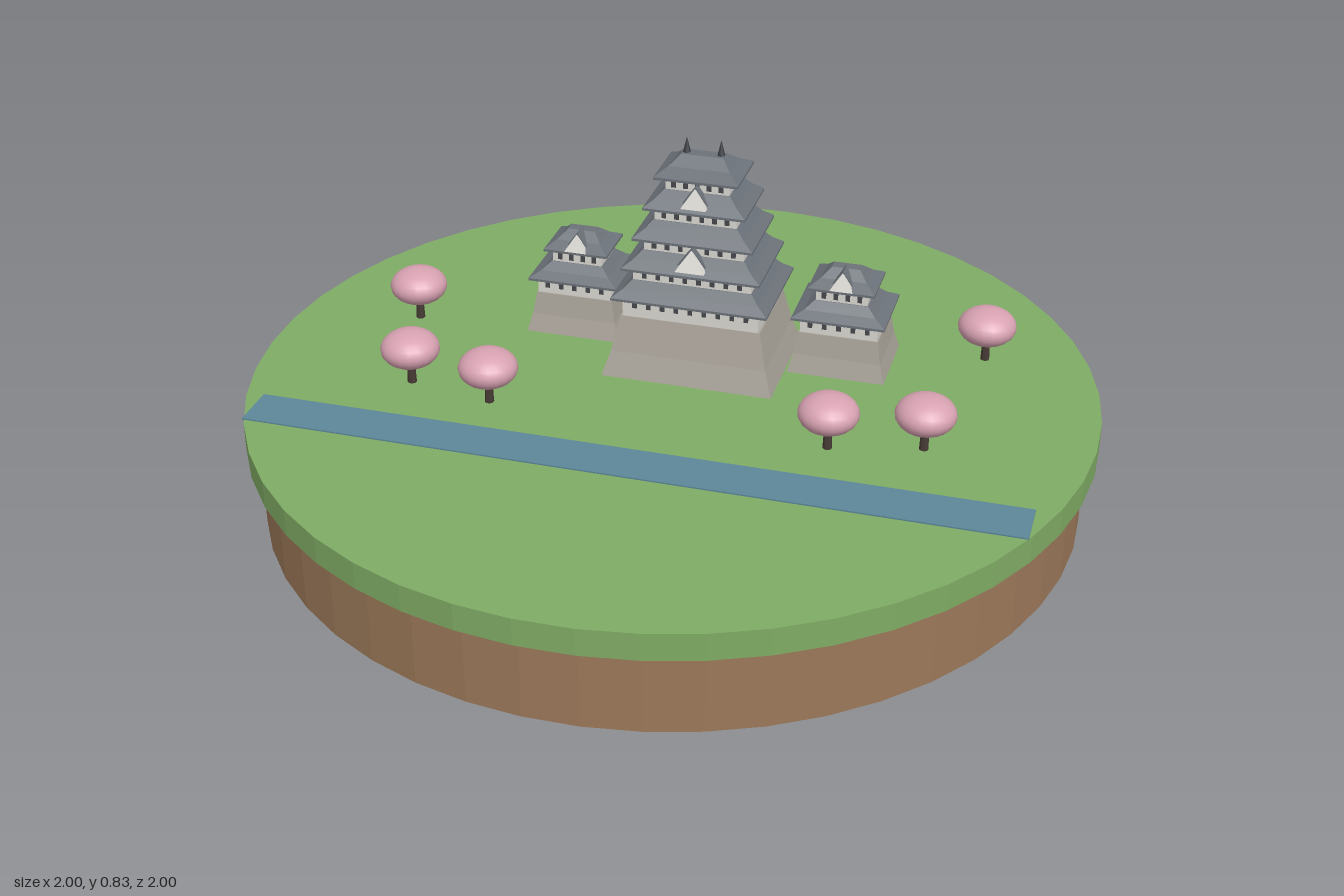
import * as THREE from 'three';

const mat = (name, color, flat = true) => {
  const m = new THREE.MeshStandardMaterial({ color, flatShading: flat });
  m.name = name;
  return m;
};

export function createModel() {
  const M = {
    grass: mat('grass', 0x7fab64), soil: mat('soil', 0x9b7859), water: mat('water', 0x5c8798),
    stone: mat('stone', 0xa9a399), plaster: mat('plaster', 0xdad8d2), roof: mat('roof tile', 0x6c7279),
    window: mat('window', 0x45474c), finial: mat('finial', 0x3c3f45),
    trunk: mat('bark', 0x463a34), blossom: mat('blossom', 0xd8a2b2, false),
  };
  const model = new THREE.Group();
  const GROUND = 0.265, TURN = -0.345;

  const add = (parent, name, geo, material, x = 0, y = 0, z = 0) => {
    const mesh = new THREE.Mesh(geo, material);
    mesh.name = name;
    mesh.position.set(x, y, z);
    parent.add(mesh);
    return mesh;
  };

  // Closed solid through rectangular rings [halfWidth, halfDepth, y], bottom to top
  const loft = (rings) => {
    const pos = [];
    const corner = ([a, b, y], i) => [[-a, y, b], [a, y, b], [a, y, -b], [-a, y, -b]][i % 4];
    const quad = (p, q, r, s) => pos.push(...p, ...q, ...r, ...p, ...r, ...s);
    for (let k = 0; k < rings.length - 1; k++) {
      for (let i = 0; i < 4; i++) {
        quad(corner(rings[k], i), corner(rings[k], i + 1), corner(rings[k + 1], i + 1), corner(rings[k + 1], i));
      }
    }
    const lo = rings[0], hi = rings[rings.length - 1];
    quad(corner(lo, 3), corner(lo, 2), corner(lo, 1), corner(lo, 0));
    quad(corner(hi, 0), corner(hi, 1), corner(hi, 2), corner(hi, 3));
    const g = new THREE.BufferGeometry();
    g.setAttribute('position', new THREE.Float32BufferAttribute(pos, 3));
    g.computeVertexNormals();
    return g;
  };

  // Hipped roof with a thin eave edge and a slight sag
  const roof = (parent, a, b, y, topA, topB, h) => add(parent, 'roof', loft([
    [a, b, y], [a, b, y + 0.006],
    [a * 0.45 + topA * 0.55, b * 0.45 + topB * 0.55, y + h * 0.52], [topA, topB, y + h],
  ]), M.roof);

  // Row of small windows on the front and back walls
  const windows = (parent, count, a, b, y) => {
    for (let i = 0; i < count; i++) {
      const x = ((i + 0.5) / count - 0.5) * a * 1.85;
      for (const s of [1, -1]) add(parent, 'window', new THREE.BoxGeometry(0.011, 0.017, 0.004), M.window, x, y, s * b);
    }
  };

  // Small decorative gable with dark sloping covers
  const gable = (parent, w, h, y, z) => {
    const face = new THREE.ConeGeometry(w * Math.SQRT1_2, h, 4).rotateY(Math.PI / 4).scale(1, 1, 0.6);
    add(parent, 'gable', face, M.plaster, 0, y + h / 2, z);
    const s = new THREE.Shape([[-w * 0.58, 0], [0, h * 1.08], [w * 0.58, 0]].map((p) => new THREE.Vector2(...p)));
    add(parent, 'gableRoof', new THREE.ExtrudeGeometry(s, { depth: 0.045, bevelEnabled: false }), M.roof, 0, y, z - 0.047);
  };

  const castlePart = (name, x, z) => {
    const g = new THREE.Group();
    g.name = name;
    g.position.set(x, 0, z);
    g.rotation.y = TURN;
    model.add(g);
    return g;
  };

  // Round island
  add(model, 'soil', new THREE.CylinderGeometry(0.97, 0.97, 0.2, 48), M.soil, 0, 0.1, 0);
  add(model, 'grass', new THREE.CylinderGeometry(1, 1, 0.065, 48), M.grass, 0, 0.2325, 0);
  add(model, 'river', new THREE.BoxGeometry(1.8, 0.005, 0.115), M.water, -0.131, GROUND + 0.001, 0.36).rotation.y = TURN;

  // Main keep: curved stone base and five tiers
  const keep = castlePart('mainKeep', 0.08, -0.12);
  add(keep, 'stoneBase', loft([[0.207, 0.157, GROUND], [0.188, 0.138, 0.325], [0.169, 0.119, 0.412]]), M.stone);
  const tierA = (i) => 0.188 - 0.022 * i, tierB = (i) => 0.138 - 0.015 * i;
  for (let i = 0; i < 5; i++) {
    const a = tierA(i), b = tierB(i), y = 0.458 + 0.0735 * i;
    const wa = a - 0.024, wb = b - 0.021, bottom = i ? y - 0.04 : 0.41;
    add(keep, 'wall', loft([[wa, wb, bottom], [wa, wb, y + 0.004]]), M.plaster);
    windows(keep, 9 - i, wa, wb, y - 0.014);
    if (i < 4) roof(keep, a, b, y, tierA(i + 1) - 0.022, tierB(i + 1) - 0.019, 0.045);
    else roof(keep, a, b, y, 0.05, 0.016, 0.045);
  }
  gable(keep, 0.07, 0.05, 0.548, 0.106);
  gable(keep, 0.06, 0.046, 0.695, 0.078);
  for (const s of [-1, 1]) {
    add(keep, 'finial', new THREE.ConeGeometry(0.01, 0.04, 6), M.finial, s * 0.041, 0.815, 0);
  }

  // Two smaller side turrets
  for (const [name, x, z] of [['rightTurret', -0.197, -0.335], ['leftTurret', 0.418, -0.084]]) {
    const t = castlePart(name, x, z);
    add(t, 'stoneBase', loft([[0.117, 0.101, GROUND], [0.105, 0.089, 0.31], [0.096, 0.08, 0.365]]), M.stone);
    add(t, 'wall', loft([[0.093, 0.077, 0.363], [0.093, 0.077, 0.406]]), M.plaster);
    windows(t, 5, 0.093, 0.077, 0.388);
    roof(t, 0.112, 0.096, 0.402, 0.064, 0.054, 0.04);
    add(t, 'upperWall', loft([[0.062, 0.052, 0.436], [0.062, 0.052, 0.478]]), M.plaster);
    windows(t, 4, 0.062, 0.052, 0.457);
    roof(t, 0.08, 0.068, 0.472, 0.034, 0.014, 0.043);
    gable(t, 0.055, 0.042, 0.478, 0.052);
  }

  // Blossom trees
  const trees = [[-0.607, -0.37], [-0.615, -0.042], [-0.432, 0.064], [0.325, 0.323], [0.54, 0.343], [0.758, -0.06]];
  for (const [x, z] of trees) {
    const tree = new THREE.Group();
    tree.name = 'blossomTree';
    tree.position.set(x, GROUND, z);
    add(tree, 'trunk', new THREE.CylinderGeometry(0.008, 0.011, 0.07, 8), M.trunk, 0, 0.035, 0);
    add(tree, 'foliage', new THREE.SphereGeometry(0.07, 20, 14).scale(1, 0.64, 1), M.blossom, 0, 0.09, 0);
    model.add(tree);
  }
  return model;
}
